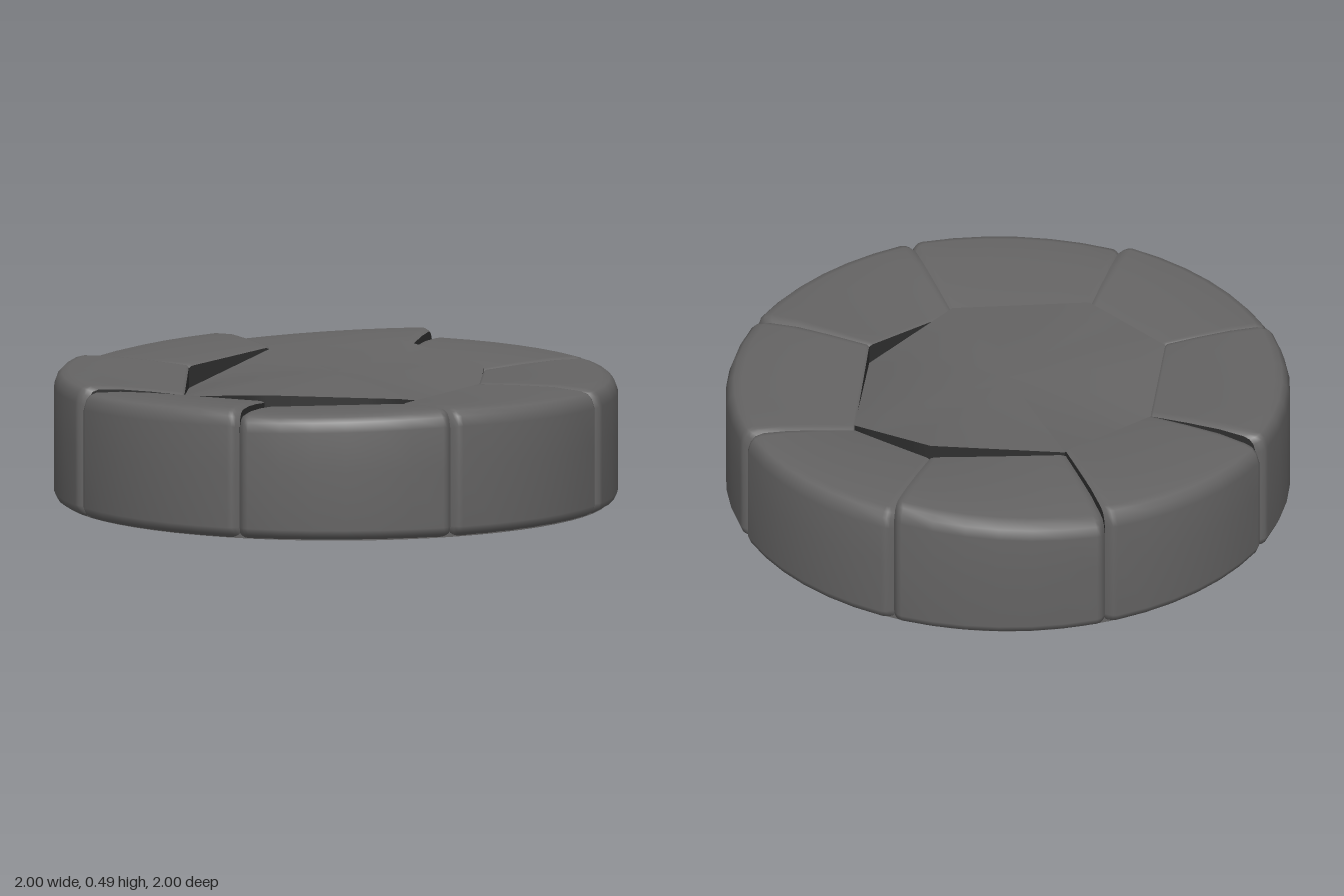
import * as THREE from 'three';

const stoneMat = new THREE.MeshStandardMaterial({ color: 0x656464 });
stoneMat.name = 'stone grey';
const jointMat = new THREE.MeshStandardMaterial({ color: 0x2f2f2f });
jointMat.name = 'joint dark grey';

// Plan of the inner octagon corners (x, z) and the outer angle of each joint
const corners = [[0.11, -0.54], [0.51, -0.28], [0.61, 0.06], [0.28, 0.47],
  [-0.11, 0.53], [-0.52, 0.27], [-0.62, -0.07], [-0.29, -0.48]];
const jointDegrees = [-77.6, -32.4, 12.2, 58.8, 102.4, 147.6, 192.2, 238.4, 282.4];

// Top heights of each stone: inner start, inner end, outer start, outer end
const stoneTops = [[0.46, 0.45, 0.44, 0.485], [0.445, 0.42, 0.45, 0.45],
  [0.42, 0.45, 0.45, 0.447], [0.45, 0.42, 0.447, 0.46], [0.42, 0.415, 0.46, 0.442],
  [0.435, 0.425, 0.465, 0.45], [0.43, 0.455, 0.468, 0.472], [0.455, 0.48, 0.445, 0.472]];
const capTops = [0.465, 0.493, 0.435, 0.37, 0.435, 0.455, 0.42, 0.37];

const lerp = THREE.MathUtils.lerp;

function makeMesh(name, points, index, material) {
  const geo = new THREE.BufferGeometry();
  geo.setAttribute('position', new THREE.Float32BufferAttribute(points.flat(), 3));
  geo.setIndex(index);
  geo.computeVertexNormals();
  const mesh = new THREE.Mesh(geo, material);
  mesh.name = name;
  return mesh;
}

// Joins rows of points into a surface
function loft(name, rows, material) {
  const n = rows[0].length, index = [];
  for (let i = 0; i < rows.length - 1; i++) {
    for (let j = 0; j < n - 1; j++) {
      const a = i * n + j, b = a + n;
      index.push(a, b, a + 1, b, b + 1, a + 1);
    }
  }
  return makeMesh(name, rows.flat(), index, material);
}

// Flat end of a stone
function endFace(name, pts, flip) {
  const index = [];
  for (let j = 1; j < pts.length - 1; j++) index.push(0, flip ? j + 1 : j, flip ? j : j + 1);
  return makeMesh(name, pts, index, jointMat);
}

// Cross-section of a stone at fraction t along its length
function section(k, t) {
  const [is, ie, os, oe] = stoneTops[k];
  const a = corners[k], b = corners[(k + 1) % 8];
  const end = Math.min(t, 1 - t);
  const round = 0.02 * Math.pow(Math.max(0, 1 - end / 0.05), 2);
  const ang = THREE.MathUtils.degToRad(lerp(jointDegrees[k], jointDegrees[k + 1], t));
  const R = 1 - round * 1.4;
  const ox = Math.cos(ang), oz = Math.sin(ang);
  const ix = lerp(a[0], b[0], t), iz = lerp(a[1], b[1], t);
  const hi = lerp(is, ie, t) - round * 0.3, ho = lerp(os, oe, t) - round * 0.6;
  const at = (f, y) => [lerp(ix, ox * R, f), y, lerp(iz, oz * R, f)];
  return [
    at(0, 0.02), at(0, hi - 0.008), at(0.02, hi),
    at(0.35, lerp(hi, ho, 0.35) + 0.006), at(0.65, lerp(hi, ho, 0.65) + 0.008),
    at(0.88, ho), at(0.94, ho - 0.008), at(0.975, ho - 0.025), at(1, ho - 0.06),
    at(1, 0.25), at(1, 0.04), at(0.975, 0.015), at(0.92, 0.002),
  ];
}

function makeStone(k) {
  const stone = new THREE.Group();
  stone.name = 'ringStone' + (k + 1);
  const rows = [0, 0.015, 0.03, 0.05, 0.2, 0.35, 0.5, 0.65, 0.8, 0.95, 0.97, 0.985, 1].map((t) => section(k, t));
  stone.add(
    loft('stoneFace', rows.map((r) => r.slice(1)), stoneMat),
    loft('innerWall', rows.map((r) => r.slice(0, 2)), jointMat),
    endFace('startFace', rows[0], false),
    endFace('endFace', rows[rows.length - 1], true),
  );
  return stone;
}

// Warped eight-sided centre slab with a skirt
function makeCentre() {
  const centre = new THREE.Group();
  centre.name = 'centreSlab';
  const rings = 6, steps = 4, rows = [], rim = [];
  for (let i = 0; i <= 8 * steps; i++) {
    const k = Math.floor(i / steps) % 8, n = (k + 1) % 8, t = (i % steps) / steps;
    const x = lerp(corners[k][0], corners[n][0], t), z = lerp(corners[k][1], corners[n][1], t);
    const y = lerp(capTops[k], capTops[n], t);
    const row = [];
    for (let j = 0; j <= rings; j++) {
      const f = Math.max(j / rings, 0.001);
      row.push([x * f, lerp(0.46, y, f * f), z * f]);
    }
    rows.push(row);
    rim.push([[x, y, z], [x, 0.05, z]]);
  }
  centre.add(loft('slabTop', rows, stoneMat), loft('slabSide', rim, jointMat));
  return centre;
}

export function createModel() {
  const model = new THREE.Group();
  model.name = 'stoneRing';
  for (let k = 0; k < 8; k++) model.add(makeStone(k));
  model.add(makeCentre());

  // Base disc closing the underside
  const base = new THREE.Mesh(new THREE.CylinderGeometry(0.965, 0.965, 0.02, 64), stoneMat);
  base.name = 'base';
  base.position.y = 0.01;
  model.add(base);
  return model;
}
